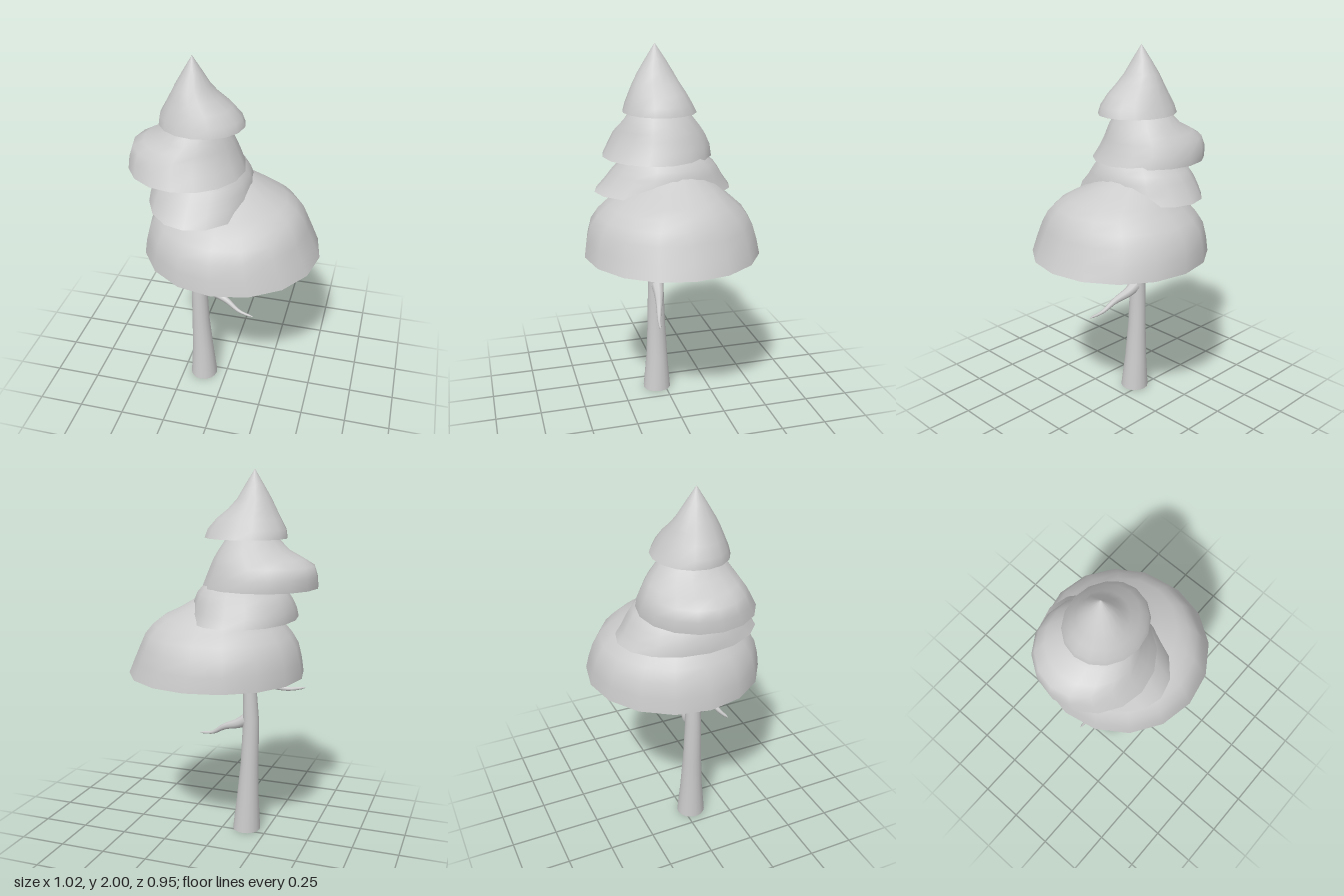
import * as THREE from 'three';

const material = new THREE.MeshStandardMaterial({ color: 0xcccccc, side: THREE.DoubleSide });

// Open skin through horizontal elliptical rings, listed bottom to top.
// Each ring is [y, xMin, xMax, zMin, zMax].
function loft(name, rings, sides) {
  const positions = [], index = [];
  for (const [y, x0, x1, z0, z1] of rings) {
    for (let i = 0; i < sides; i++) {
      const a = (i / sides) * Math.PI * 2;
      positions.push((x0 + x1) / 2 + Math.cos(a) * (x1 - x0) / 2, y,
        (z0 + z1) / 2 + Math.sin(a) * (z1 - z0) / 2);
    }
  }
  for (let r = 0; r < rings.length - 1; r++) {
    for (let i = 0; i < sides; i++) {
      const a = r * sides + i, b = r * sides + (i + 1) % sides;
      index.push(a, a + sides, b, b, a + sides, b + sides);
    }
  }
  const geometry = new THREE.BufferGeometry();
  geometry.setAttribute('position', new THREE.Float32BufferAttribute(positions, 3));
  geometry.setIndex(index);
  geometry.computeVertexNormals();
  const mesh = new THREE.Mesh(geometry, material);
  mesh.name = name;
  return mesh;
}

// Tube whose radius shrinks from the root to the tip.
function branch(name, points, rootRadius, tipRadius) {
  const curve = new THREE.CatmullRomCurve3(points.map(p => new THREE.Vector3(...p)));
  const segments = 14, sides = 8;
  const geometry = new THREE.TubeGeometry(curve, segments, 1, sides);
  const position = geometry.attributes.position;
  const v = new THREE.Vector3();
  for (let s = 0; s <= segments; s++) {
    const t = s / segments;
    const centre = curve.getPointAt(t);
    const radius = s === segments ? 0.001
      : tipRadius + (rootRadius - tipRadius) * Math.pow(1 - t, 1.5);
    for (let j = 0; j <= sides; j++) {
      const k = s * (sides + 1) + j;
      v.fromBufferAttribute(position, k).sub(centre).multiplyScalar(radius).add(centre);
      position.setXYZ(k, v.x, v.y, v.z);
    }
  }
  const mesh = new THREE.Mesh(geometry, material);
  mesh.name = name;
  return mesh;
}

export function createModel() {
  const tree = new THREE.Group();
  tree.name = 'tree';

  // Trunk, running up inside the lowest skirt
  tree.add(loft('trunk', [
    [0, -0.21, -0.055, -0.035, 0.125],
    [0.2, -0.2, -0.078, -0.02, 0.105],
    [0.4, -0.198, -0.098, -0.01, 0.095],
    [0.65, -0.198, -0.11, -0.002, 0.088],
    [0.8, -0.185, -0.108, 0.002, 0.083],
    [0.92, -0.17, -0.097, 0.005, 0.08],
    [1.2, -0.155, -0.09, 0.01, 0.07],
  ], 16));

  // Bare branches
  tree.add(branch('leftBranch', [
    [-0.13, 0.65, 0.04], [-0.08, 0.62, 0.045], [0.01, 0.585, 0.065],
    [0.09, 0.535, 0.085], [0.175, 0.52, 0.1],
  ], 0.036, 0.006));
  tree.add(branch('rightBranch', [
    [-0.13, 0.93, 0.045], [-0.2, 0.885, 0.07], [-0.27, 0.842, 0.09],
    [-0.35, 0.83, 0.098], [-0.445, 0.846, 0.1],
  ], 0.036, 0.007));

  // Foliage skirts, lowest first, each open underneath
  tree.add(loft('lowestSkirt', [
    [0.92, -0.447, 0.51, -0.475, 0.475],
    [1.0, -0.435, 0.475, -0.462, 0.462],
    [1.08, -0.415, 0.44, -0.44, 0.44],
    [1.14, -0.38, 0.415, -0.4, 0.4],
    [1.19, -0.34, 0.375, -0.345, 0.345],
    [1.23, -0.3, 0.32, -0.3, 0.28],
    [1.27, -0.27, 0.235, -0.26, 0.21],
    [1.32, -0.24, 0.15, -0.2, 0.13],
    [1.36, -0.2, 0.08, -0.14, 0.09],
    [1.4, -0.12, -0.12, 0, 0],
  ], 16));
  tree.add(loft('lowerSkirt', [
    [1.23, -0.405, 0.15, -0.372, 0.385],
    [1.28, -0.4, 0.142, -0.335, 0.335],
    [1.33, -0.38, 0.132, -0.305, 0.295],
    [1.37, -0.355, 0.118, -0.275, 0.26],
    [1.4, -0.32, 0.095, -0.24, 0.235],
    [1.48, -0.26, 0.03, -0.15, 0.17],
    [1.58, -0.15, -0.15, 0.03, 0.03],
  ], 16));
  tree.add(loft('upperSkirt', [
    [1.4, -0.515, 0.1, -0.28, 0.322],
    [1.46, -0.513, 0.072, -0.275, 0.288],
    [1.515, -0.497, 0.05, -0.25, 0.257],
    [1.55, -0.435, 0.035, -0.222, 0.236],
    [1.59, -0.355, 0.012, -0.185, 0.212],
    [1.64, -0.305, -0.02, -0.145, 0.182],
    [1.7, -0.25, -0.07, -0.075, 0.13],
    [1.8, -0.165, -0.165, 0.035, 0.035],
  ], 16));
  tree.add(loft('treetop', [
    [1.65, -0.345, 0.097, -0.173, 0.222],
    [1.695, -0.338, 0.083, -0.15, 0.208],
    [1.75, -0.307, 0.035, -0.12, 0.184],
    [1.8, -0.28, -0.028, -0.09, 0.16],
    [1.85, -0.255, -0.075, -0.062, 0.132],
    [1.92, -0.214, -0.116, -0.018, 0.09],
    [2, -0.166, -0.164, 0.037, 0.039],
  ], 16));

  return tree;
}
